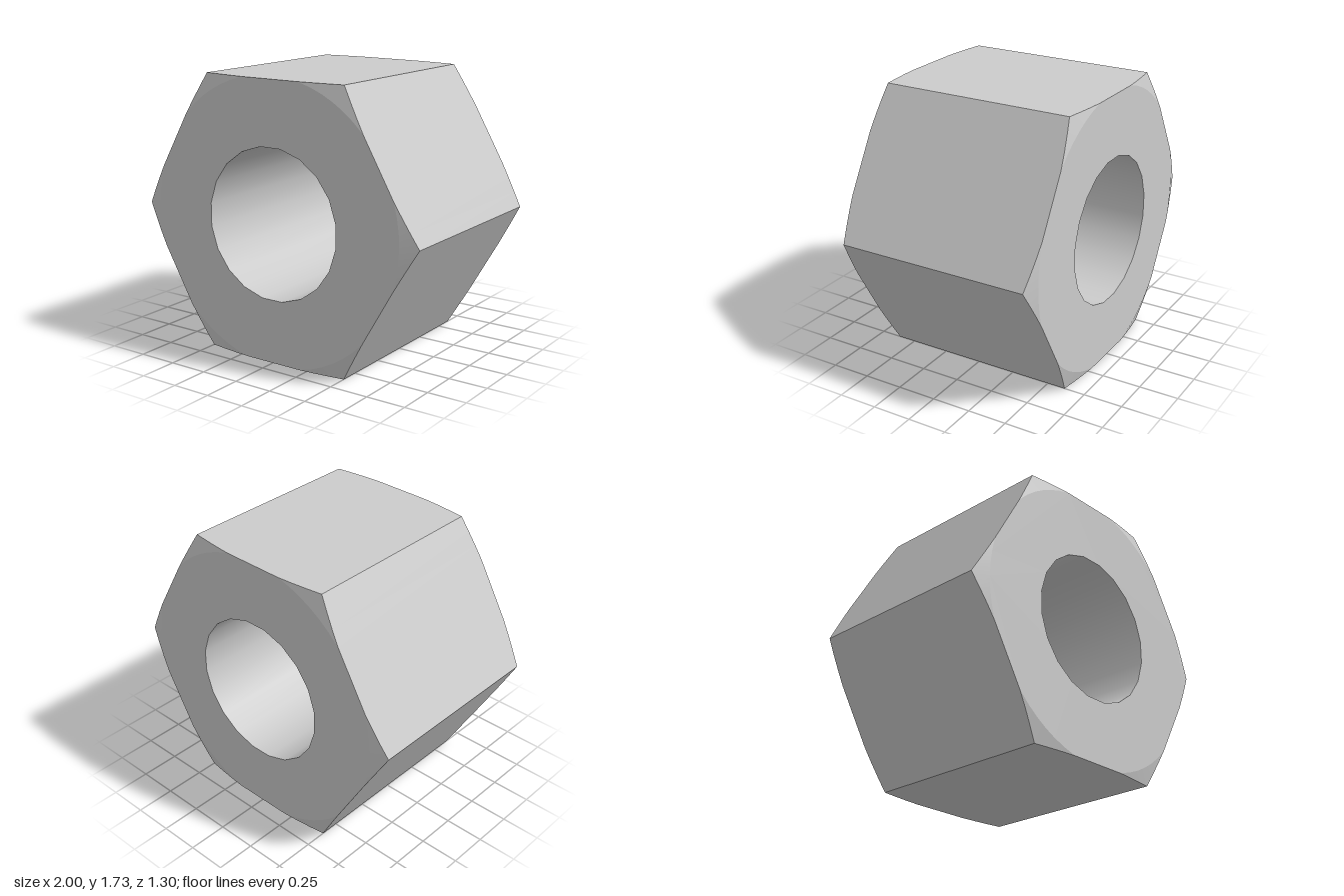
import * as THREE from 'three';

const APOTHEM = Math.sqrt(3) / 2, HALF = 0.65, BORE = 0.47, BORE_SIDES = 20;
const STEPS = [-0.5, -0.4, -0.3, -0.2, 0.2, 0.3, 0.4]; // positions along each flat
const FLAT_R = Math.hypot(APOTHEM, 0.2), SLOPE = 0.3; // conical chamfer beyond FLAT_R

// Closed band of quads between two matching loops of points
function band(a, b) {
  const n = a.length, index = [];
  const geometry = new THREE.BufferGeometry().setFromPoints([...a, ...b]);
  for (let i = 0; i < n; i++) {
    const j = (i + 1) % n;
    index.push(i, n + i, n + j, i, n + j, j);
  }
  geometry.setIndex(index);
  geometry.computeVertexNormals();
  return geometry;
}

export function createModel() {
  const nut = new THREE.Group();
  nut.name = 'hexNut';
  const smooth = new THREE.MeshStandardMaterial({ color: 0xcccccc });
  const flat = new THREE.MeshStandardMaterial({ color: 0xcccccc, flatShading: true });
  const add = (name, geometry, material) => {
    const mesh = new THREE.Mesh(geometry, material);
    mesh.name = name;
    mesh.position.y = APOTHEM;
    nut.add(mesh);
    return mesh;
  };

  // Hexagon rim, dipping at the corners, and the edge of the flat end face
  const rim = [], inner = [];
  for (let side = 0; side < 6; side++) {
    const a = Math.PI / 2 + side * Math.PI / 3, c = Math.cos(a), s = Math.sin(a);
    for (const u of STEPS) {
      const x = c * APOTHEM - s * u, y = s * APOTHEM + c * u;
      const r = Math.hypot(x, y), k = Math.min(1, FLAT_R / r);
      rim.push(new THREE.Vector3(x, y, HALF - Math.max(0, r - FLAT_R) * SLOPE));
      inner.push(new THREE.Vector3(x * k, y * k, HALF));
    }
  }

  // Six outer flats
  const backRim = rim.map(p => new THREE.Vector3(p.x, p.y, -p.z));
  add('outerFlats', band(rim, backRim), flat);

  // End faces with the bore hole, and their chamfered corners
  const face = new THREE.Shape(inner.map(p => new THREE.Vector2(p.x, p.y)));
  const hole = [];
  for (let i = 0; i < BORE_SIDES; i++) {
    const a = (i + 0.5) * 2 * Math.PI / BORE_SIDES;
    hole.push(new THREE.Vector2(BORE * Math.cos(a), BORE * Math.sin(a)));
  }
  face.holes.push(new THREE.Path(hole));
  const faceGeometry = new THREE.ShapeGeometry(face).translate(0, 0, HALF);
  const chamferGeometry = band(inner, rim);
  for (const [end, turn] of [['front', 0], ['back', Math.PI]]) {
    add(end + 'Face', faceGeometry, smooth).rotation.y = turn;
    add(end + 'Chamfer', chamferGeometry, smooth).rotation.y = turn;
  }

  // Bore wall, facing inward
  const profile = [new THREE.Vector2(BORE, HALF), new THREE.Vector2(BORE, -HALF)];
  const bore = new THREE.LatheGeometry(profile, BORE_SIDES, Math.PI / BORE_SIDES);
  add('bore', bore.rotateX(Math.PI / 2), smooth);

  return nut;
}
